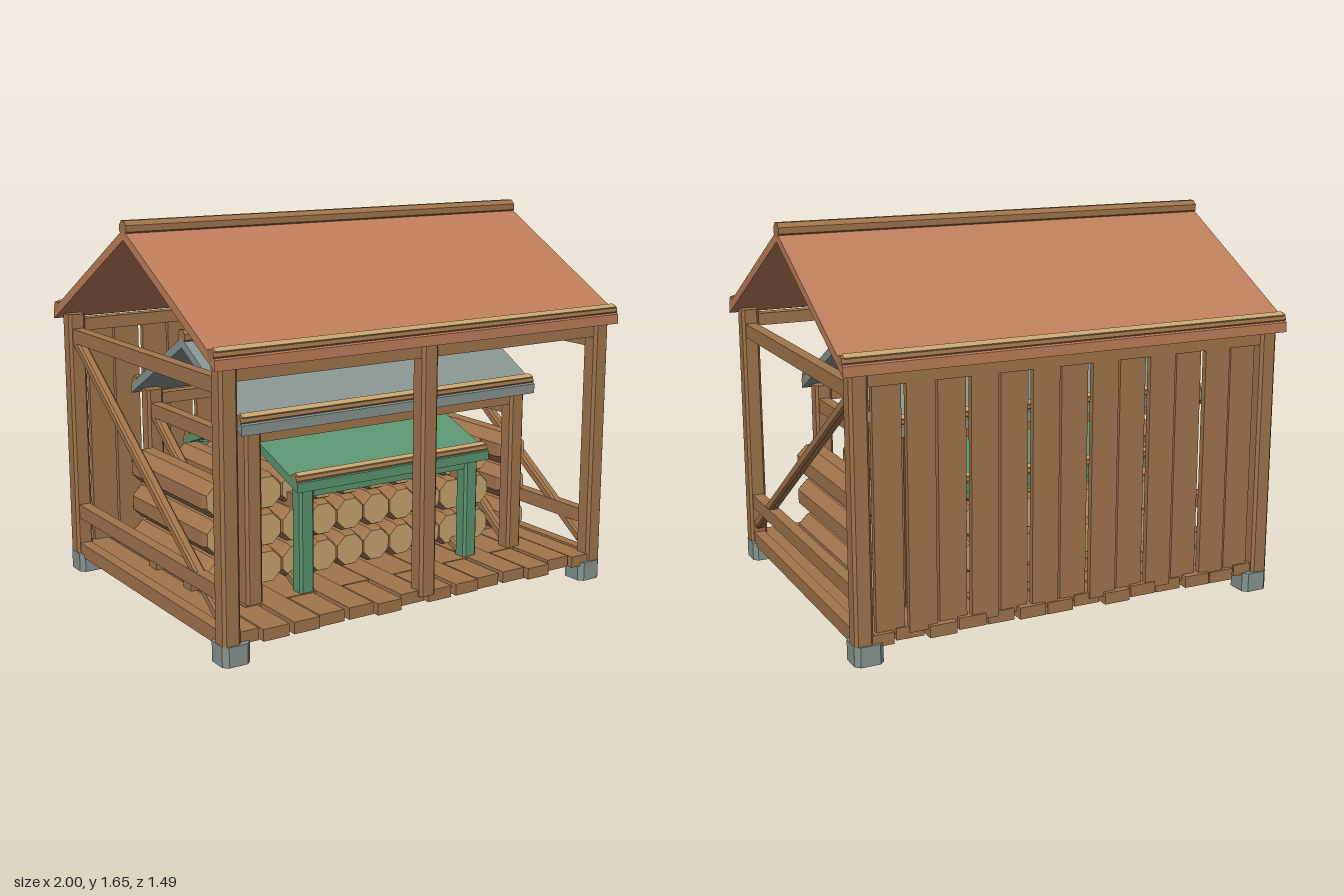
import * as THREE from 'three';

const mat = (name, color) => {
  const m = new THREE.MeshStandardMaterial({ color });
  m.name = name;
  return m;
};

export function createModel() {
  const wood = mat('brown wood', 0xa0754c);
  const cut = mat('cut wood', 0xc8a46e);
  const tile = mat('terracotta', 0xbd7d5a);
  const slate = mat('slate grey', 0x87938f);
  const green = mat('green paint', 0x5a946f);

  const model = new THREE.Group();
  model.name = 'woodShed';

  const add = (parent, name, geo, material, x = 0, y = 0, z = 0) => {
    const m = new THREE.Mesh(geo, material);
    m.name = name;
    m.position.set(x, y, z);
    parent.add(m);
    return m;
  };
  const box = (parent, name, material, w, h, d, x, y, z) =>
    add(parent, name, new THREE.BoxGeometry(w, h, d), material, x, y, z);
  const flat = (geo) => {
    const g = geo.toNonIndexed();
    g.computeVertexNormals();
    return g;
  };
  // Upright square bar with trimmed corners
  const chamfered = (w, h, d, c) => {
    const a = w / 2, b = d / 2;
    const s = new THREE.Shape([
      [a, -b + c], [a, b - c], [a - c, b], [-a + c, b],
      [-a, b - c], [-a, -b + c], [-a + c, -b], [a - c, -b],
    ].map(([x, y]) => new THREE.Vector2(x, y)));
    const g = new THREE.ExtrudeGeometry(s, { depth: h, bevelEnabled: false });
    return g.translate(0, 0, -h / 2).rotateX(-Math.PI / 2);
  };
  // Eight-sided pole lying along x
  const pole = (r, len) => flat(
    new THREE.CylinderGeometry(r, r, len, 8, 1, false, Math.PI / 8).rotateZ(Math.PI / 2));

  // Log lying along z, with bevelled ends and pale cut faces
  const log = (parent, r, len, x, y) => {
    const g = new THREE.Group();
    g.name = 'log';
    g.position.set(x, y, 0);
    const h = len / 2, e = r * 0.86, b = Math.min(0.025, h * 0.2);
    const profile = [[e, -h], [r, -h + b], [r, h - b], [e, h]]
      .map(([px, py]) => new THREE.Vector2(px, py));
    const bark = flat(new THREE.LatheGeometry(profile, 8, Math.PI / 8));
    add(g, 'bark', bark.rotateX(Math.PI / 2), wood);
    for (const s of [1, -1]) {
      const end = add(g, 'cutEnd', new THREE.CircleGeometry(e, 8, Math.PI / 8), cut, 0, 0, s * h);
      if (s < 0) end.rotation.y = Math.PI;
    }
    parent.add(g);
  };

  // Roof with ridge pole and eave poles
  const roof = (parent, material, o) => {
    const { half, edge, low, top, t } = o;
    const s = new THREE.Shape([
      [-edge, low], [0, top - t], [edge, low], [edge, low + t], [0, top], [-edge, low + t],
    ].map(([x, y]) => new THREE.Vector2(x, y)));
    const g = new THREE.ExtrudeGeometry(s, { depth: half * 2, bevelEnabled: false });
    add(parent, 'roof', g.translate(0, 0, -half).rotateY(Math.PI / 2), material);
    add(parent, 'ridgePole', pole(o.ridge, half * 2), wood, 0, top + 0.005, 0);
    const slope = Math.atan2(top - low - t, edge);
    const z = edge - 0.032;
    for (const side of [1, -1]) {
      const eave = new THREE.Group();
      eave.name = 'eavePole';
      eave.position.set(0, low + t + 0.032 * Math.tan(slope) - 0.004, side * z);
      eave.rotation.x = side * slope;
      add(eave, 'eaveBark', pole(0.026, half * 2), wood);
      box(eave, 'eaveCutFace', cut, half * 2 - 0.02, 0.006, 0.026, 0, 0.024, 0);
      parent.add(eave);
    }
  };

  // Post-and-beam frame: corner posts, rails and side braces
  const frame = (parent, material, o) => {
    const { px, pz, w, bottom, top, rails, beamY, beamH, brace } = o;
    for (const sx of [1, -1]) {
      for (const sz of [1, -1])
        add(parent, 'post', chamfered(w, top - bottom, w, w * 0.15), material,
          sx * px, (top + bottom) / 2, sz * pz);
      for (const y of rails)
        box(parent, 'sideRail', wood, 0.05, 0.062, pz * 2 - w, sx * px, y, 0);
      const [z0, y0, z1, y1] = brace;
      const bar = add(parent, 'sideBrace',
        chamfered(0.045, Math.hypot(z1 - z0, y1 - y0), 0.045, 0.009), wood,
        sx * px, (y0 + y1) / 2, (z0 + z1) / 2);
      bar.rotation.x = Math.atan2(z1 - z0, y1 - y0);
    }
    for (const sz of [1, -1])
      box(parent, 'eaveBeam', material, px * 2 - w * 0.5, beamH, w * 0.7, 0, beamY, sz * pz);
  };

  const sheds = [
    {
      name: 'largeShed', post: wood, cover: tile,
      roof: { half: 1, edge: 0.745, low: 1.16, top: 1.615, t: 0.042, ridge: 0.034 },
      frame: {
        px: 0.93, pz: 0.685, w: 0.078, bottom: 0.08, top: 1.185, rails: [0.098, 0.28, 1.09],
        beamY: 1.135, beamH: 0.055, brace: [0.64, 0.17, -0.64, 1.06],
      },
    },
    {
      name: 'middleShed', post: wood, cover: slate,
      roof: { half: 0.75, edge: 0.495, low: 0.835, top: 1.155, t: 0.042, ridge: 0.032 },
      frame: {
        px: 0.68, pz: 0.43, w: 0.076, bottom: 0.1, top: 0.86, rails: [0.77],
        beamY: 0.815, beamH: 0.05, brace: [0.39, 0.16, -0.39, 0.74],
      },
    },
    {
      name: 'smallShed', post: green, cover: green,
      roof: { half: 0.495, edge: 0.495, low: 0.565, top: 0.78, t: 0.04, ridge: 0.026 },
      frame: {
        px: 0.428, pz: 0.43, w: 0.07, bottom: 0.1, top: 0.59, rails: [0.5],
        beamY: 0.55, beamH: 0.045, brace: [0.39, 0.14, -0.39, 0.47],
      },
    },
  ];
  for (const s of sheds) {
    const g = new THREE.Group();
    g.name = s.name;
    roof(g, s.cover, s.roof);
    frame(g, s.post, s.frame);
    model.add(g);
  }
  add(model, 'centrePost', chamfered(0.08, 1.06, 0.078, 0.012), wood, 0, 0.63, 0.685);

  // Back wall of upright boards with narrow gaps
  const boards = 13, pitch = 1.76 / boards;
  for (let i = 0; i < boards; i++)
    box(model, 'wallBoard', wood, pitch - 0.016, 1.04, 0.026,
      (i - (boards - 1) / 2) * pitch, 0.62, -0.685 - (i % 2) * 0.014);

  // Floor of boards running front to back, over an inner deck
  for (let i = 0; i < 14; i++) {
    const len = 1.41 + (i % 3) * 0.025;
    box(model, 'floorBoard', wood, 0.118, 0.05, len, (i - 6.5) * 0.133, 0.1 - (i % 2) * 0.006, 0);
  }
  box(model, 'innerDeck', wood, 1.46, 0.052, 0.94, 0, 0.096, 0);
  for (const z of [0.16, -0.16])
    box(model, 'logBearer', wood, 1.66, 0.03, 0.07, 0, 0.138, z);

  // Foundation stones
  for (const [x, z] of [[0.91, 0.67], [0.66, 0.415], [0.405, 0.415], [0.405, 0.16]])
    for (const sx of [1, -1])
      for (const sz of [1, -1])
        add(model, 'footStone', chamfered(0.122, 0.084, 0.122, 0.02), slate, sx * x, 0.042, sz * z);

  // Stacked firewood and the two short logs under the floor
  const stack = new THREE.Group();
  stack.name = 'firewood';
  for (const y of [0.223, 0.384, 0.543])
    for (const x of [0.765, 0.55, 0.41, 0.275, 0.137, 0])
      for (const s of x ? [1, -1] : [1]) log(stack, 0.081, 0.69, s * x, y);
  model.add(stack);
  for (const x of [-0.057, 0.055]) log(model, 0.045, 0.2, x, 0.042);

  return model;
}
